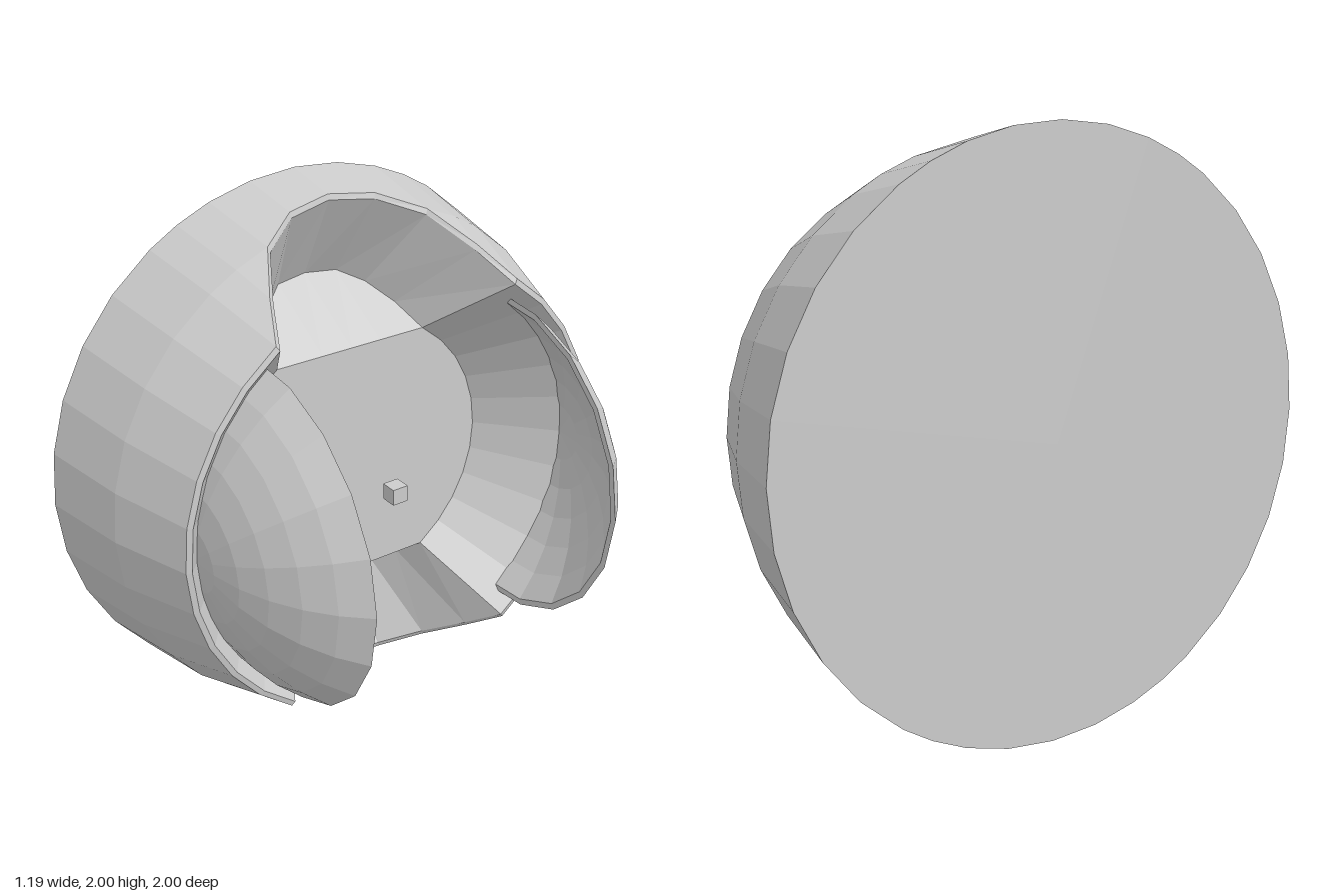
import * as THREE from 'three';

const grey = () => new THREE.MeshStandardMaterial({ color: 0xcccccc, flatShading: true, side: THREE.DoubleSide });

// Outer radius of the bowl about the x axis
function outerRadius(x) {
  return x < -0.26
    ? THREE.MathUtils.mapLinear(x, -0.6, -0.26, 1, 0.94)
    : THREE.MathUtils.mapLinear(x, -0.26, 0.04, 0.94, 0.84);
}

// One quadrant of azimuths; the first five columns lie in the notch
const azimuths = [0, 10.1, 19.6, 27.4, 34.4, 45.5, 56.6, 67.8, 78.9, 90];
const notchRimX = [-0.39, -0.36, -0.26, -0.1, 0.04];
const notchFoot = [[0.63, 0], [0.62, 0.12], [0.58, 0.2], [0.52, 0.26], [0.45, 0.3]]; // height, width

// Points [x, height, width] of column k, from base centre round to the floor centre
function column(k) {
  const t = THREE.MathUtils.degToRad(azimuths[k]);
  const at = (x, r) => [x, r * Math.cos(t), r * Math.sin(t)];
  const inNotch = k < notchFoot.length;
  const rimX = inNotch ? notchRimX[k] : 0.04;
  const midX = Math.min(-0.26, rimX);
  const rimR = outerRadius(rimX);
  const floorEdge = inNotch ? [-0.26, 0.45, notchFoot[k][1]] : at(-0.26, 0.54);
  const foot = inNotch
    ? [-0.26 - (notchFoot[k][0] - 0.45) * 1.63, ...notchFoot[k]]
    : floorEdge;
  return [
    [-0.6, 0, 0], at(-0.6, 1), at(midX, outerRadius(midX)), at(rimX, rimR),
    at(rimX + 0.005, rimR - 0.02), foot, floorEdge, [-0.26, 0, 0],
  ];
}

// Closed bowl with a sloped notch at the top and bottom
function bowlGeometry() {
  const columns = [];
  const add = (k, sy, sz) => columns.push(column(k).map(([x, y, z]) => [x, 1 + sy * y, sz * z]));
  for (let k = 0; k <= 9; k++) add(k, 1, 1);
  for (let k = 8; k >= 0; k--) add(k, -1, 1);
  for (let k = 1; k <= 9; k++) add(k, -1, -1);
  for (let k = 8; k >= 1; k--) add(k, 1, -1);

  const rows = columns[0].length;
  const index = [];
  for (let i = 0; i < columns.length; i++) {
    const n = (i + 1) % columns.length;
    for (let j = 0; j < rows - 1; j++) {
      const a = i * rows + j, b = n * rows + j;
      if (j > 0) index.push(a, b, b + 1);
      if (j < rows - 2) index.push(a, b + 1, a + 1);
      else index.push(a, b, a + 1);
    }
  }
  const geometry = new THREE.BufferGeometry();
  geometry.setAttribute('position', new THREE.Float32BufferAttribute(columns.flat(2), 3));
  geometry.setIndex(index);
  geometry.computeVertexNormals();
  return geometry;
}

// Thin half of a spherical cap, sliced flat on its inner side
function wingGeometry() {
  const outer = 0.78, inner = 0.762, cut = 0.485, steps = 6;
  const profile = [];
  const arc = (r, f) => {
    const a = Math.acos(cut / r) * f;
    profile.push(new THREE.Vector2(r * Math.sin(a), r * Math.cos(a)));
  };
  for (let i = 0; i <= steps; i++) arc(inner, i / steps);
  for (let i = steps; i >= 0; i--) arc(outer, i / steps);
  return new THREE.LatheGeometry(profile, 10, -0.08, Math.PI + 0.16);
}

export function createModel() {
  const model = new THREE.Group();
  model.name = 'notchedBowlWithWings';

  const bowl = new THREE.Mesh(bowlGeometry(), grey());
  bowl.name = 'bowl';
  model.add(bowl);

  // Mirrored curved wings
  for (const side of [1, -1]) {
    const wing = new THREE.Mesh(wingGeometry(), grey());
    wing.name = side > 0 ? 'frontWing' : 'backWing';
    wing.position.set(-0.02, 1, 0);
    wing.rotation.x = side * Math.PI / 2;
    model.add(wing);
  }

  // Small cube floating at the centre
  const cube = new THREE.Mesh(new THREE.BoxGeometry(0.06, 0.06, 0.06), grey());
  cube.name = 'centreCube';
  cube.position.set(0, 1, 0);
  model.add(cube);

  return model;
}
